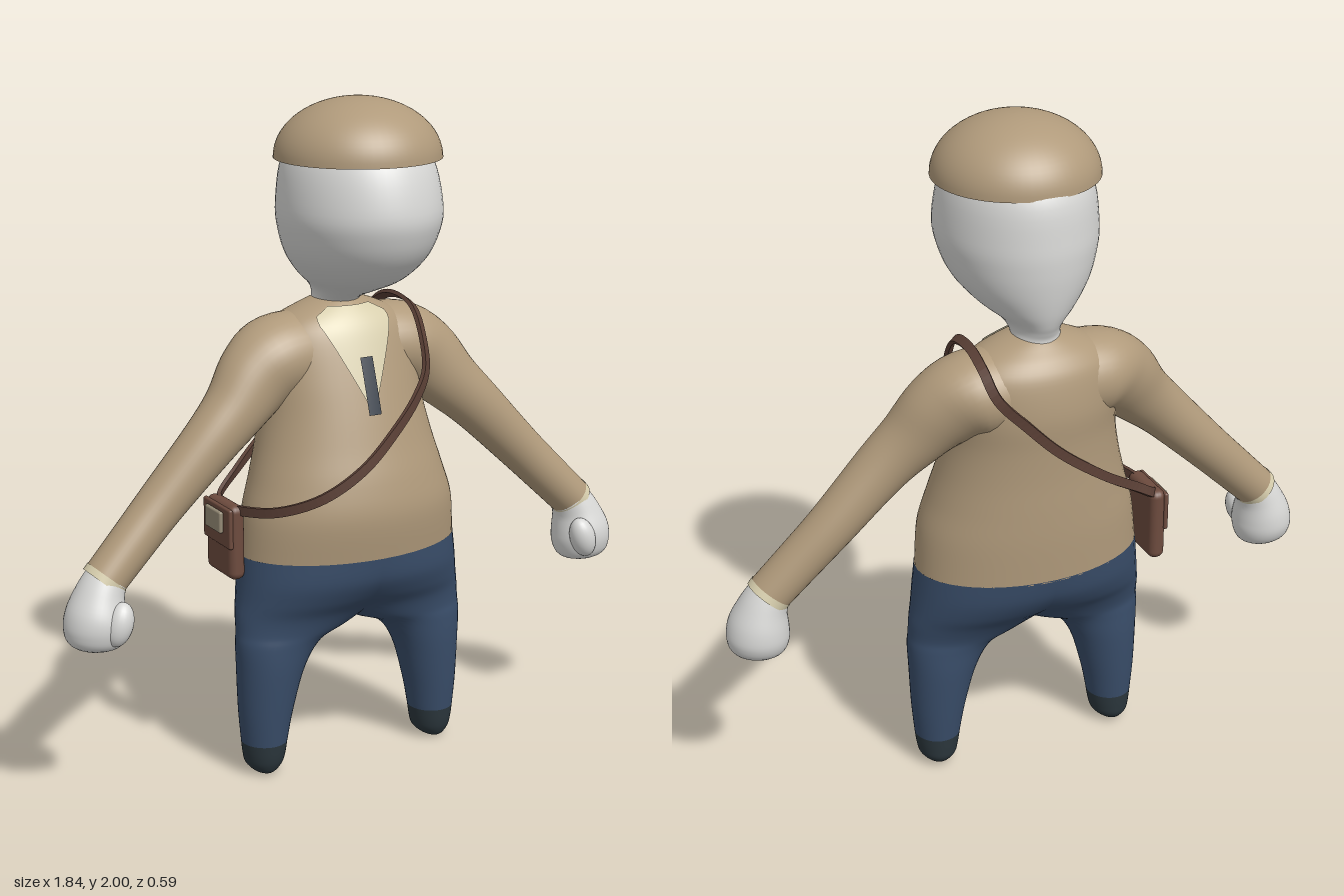
import * as THREE from 'three';
import { RoundedBoxGeometry } from 'three/addons/geometries/RoundedBoxGeometry.js';

const mat = (name, color, side = THREE.FrontSide) => {
  const m = new THREE.MeshStandardMaterial({ color, side });
  m.name = name;
  return m;
};

// Smooth list of cross-sections [x, y, z, r1, r2] through a few key ones
function refine(keys, steps = 5) {
  const out = [];
  for (let i = 0; i < keys.length - 1; i++) {
    const [a, b, c, d] = [keys[Math.max(i - 1, 0)], keys[i], keys[i + 1], keys[Math.min(i + 2, keys.length - 1)]];
    for (let s = 0; s < steps; s++) {
      const t = s / steps;
      out.push(b.map((p, k) => 0.5 * (2 * p + (c[k] - a[k]) * t + (2 * a[k] - 5 * p + 4 * c[k] - d[k]) * t * t
        + (3 * p - a[k] - 3 * c[k] + d[k]) * t * t * t)));
    }
  }
  out.push(keys[keys.length - 1]);
  return out;
}

// Skin elliptical sections; upright keeps every section horizontal
function loft(sections, upright = true, seg = 40) {
  const pos = [], idx = [], last = sections.length - 1;
  sections.forEach(([x, y, z, r1, r2], i) => {
    const p = sections[Math.max(i - 1, 0)], q = sections[Math.min(i + 1, last)];
    let tx = 0, ty = 1;
    if (!upright) {
      const l = Math.hypot(q[0] - p[0], q[1] - p[1]);
      tx = (q[0] - p[0]) / l;
      ty = (q[1] - p[1]) / l;
    }
    for (let j = 0; j < seg; j++) {
      const a = j / seg * Math.PI * 2, n = Math.cos(a) * r1;
      pos.push(x - ty * n, y + tx * n, z + Math.sin(a) * r2);
      if (i < last) {
        const k = (j + 1) % seg, A = i * seg + j, B = i * seg + k;
        idx.push(A, B, A + seg, B, B + seg, A + seg);
      }
    }
  });
  const g = new THREE.BufferGeometry();
  g.setAttribute('position', new THREE.Float32BufferAttribute(pos, 3));
  g.setIndex(idx);
  g.computeVertexNormals();
  return g;
}

// Section from its limits: height, x range, z range
const span = (y, x0, x1, z0, z1) => [(x0 + x1) / 2, y, (z0 + z1) / 2, Math.abs(x1 - x0) / 2, (z1 - z0) / 2];
const mid = ([y, w, z0, z1]) => span(y, -w, w, z0, z1);

// Flat strap swept along a closed curve, its face turned away from the body
function ribbon(points, width, thick, n = 110) {
  const curve = new THREE.CatmullRomCurve3(points.map(p => new THREE.Vector3(...p)), true, 'centripetal');
  const pos = [], idx = [];
  for (let i = 0; i < n; i++) {
    const p = curve.getPointAt(i / n), t = curve.getTangentAt(i / n);
    const out = p.clone().sub(new THREE.Vector3(p.x * 0.5, THREE.MathUtils.clamp(p.y, 0.8, 1.25), -0.09));
    out.addScaledVector(t, -out.dot(t)).normalize();
    const b = t.clone().cross(out);
    [[1, 1], [-1, 1], [-1, -1], [1, -1]].forEach(([u, v], j) => {
      const c = p.clone().addScaledVector(out, u * thick / 2).addScaledVector(b, v * width / 2);
      pos.push(c.x, c.y, c.z);
      const k = (j + 1) % 4, m = ((i + 1) % n) * 4;
      idx.push(i * 4 + j, i * 4 + k, m + j, i * 4 + k, m + k, m + j);
    });
  }
  const g = new THREE.BufferGeometry();
  g.setAttribute('position', new THREE.Float32BufferAttribute(pos, 3));
  g.setIndex(idx);
  const flat = g.toNonIndexed();
  flat.computeVertexNormals();
  return flat;
}

export function createModel() {
  const model = new THREE.Group();
  const tan = mat('tan cloth', 0xb09a7b), skin = mat('pale skin', 0xd8d8d6), navy = mat('navy cloth', 0x394d69);
  const shoeMat = mat('dark shoe', 0x2b363c), cream = mat('cream shirt', 0xd8cfae, THREE.DoubleSide);
  const tieMat = mat('dark tie', 0x27323f, THREE.DoubleSide), strapMat = mat('strap leather', 0x5b4036, THREE.DoubleSide);
  const bagMat = mat('bag leather', 0x6d4b3e), metal = mat('buckle', 0x958b76);
  const add = (name, geo, material, parent = model) => {
    const m = new THREE.Mesh(geo, material);
    m.name = name;
    parent.add(m);
    return m;
  };

  // Sweater body
  const body = refine([
    [0.675, 0.345, -0.275, 0.165], [0.8, 0.332, -0.28, 0.18], [0.9, 0.303, -0.28, 0.165], [1.0, 0.275, -0.278, 0.135],
    [1.1, 0.255, -0.28, 0.105], [1.2, 0.25, -0.285, 0.072], [1.3, 0.24, -0.27, 0.035], [1.35, 0.2, -0.245, 0.01],
    [1.385, 0.13, -0.21, -0.02], [1.41, 0.06, -0.18, -0.05]].map(mid));
  add('torso', loft(body, true, 56), tan);

  // Head with neck
  add('head', loft(refine([
    [1.36, 0.08, -0.205, -0.035], [1.4, 0.07, -0.195, -0.045], [1.425, 0.072, -0.203, 0], [1.45, 0.09, -0.215, 0.07],
    [1.49, 0.14, -0.228, 0.165], [1.55, 0.19, -0.24, 0.235], [1.62, 0.218, -0.248, 0.275], [1.7, 0.228, -0.248, 0.288],
    [1.83, 0.205, -0.228, 0.25], [1.91, 0.14, -0.15, 0.17], [1.95, 0.002, 0.008, 0.012]].map(mid)), true, 56), skin);

  // Domed cap with a flat underside
  const dome = [];
  for (let i = 0; i <= 18; i++) {
    const a = i / 18 * Math.PI / 2;
    dome.push(new THREE.Vector2(0.24 * Math.cos(a), 1.83 + 0.17 * Math.sin(a)));
  }
  dome[18].x = 0;
  add('cap', new THREE.LatheGeometry(dome, 56), tan).position.z = 0.015;
  const under = add('capUnderside', new THREE.CircleGeometry(0.24, 56), tan);
  under.rotation.x = Math.PI / 2;
  under.position.set(0, 1.83, 0.015);

  // Thin patch laid on the chest; half width given by a rule of height
  const chestPatch = (y0, y1, halfWidth, lift) => {
    const g = new THREE.PlaneGeometry(2, 1, 10, 24), p = g.attributes.position;
    for (let i = 0; i < p.count; i++) {
      const y = y0 + (p.getY(i) + 0.5) * (y1 - y0), x = p.getX(i) * halfWidth(y);
      const k = Math.max(1, body.findIndex(s => s[1] >= y)), a = body[k - 1], b = body[k];
      const t = (y - a[1]) / (b[1] - a[1]), [, , z, rx, rz] = a.map((v, n) => v + (b[n] - v) * t);
      p.setXYZ(i, x, y, z + rz * Math.sqrt(Math.max(0, 1 - (x / rx) ** 2)) + lift);
    }
    g.computeVertexNormals();
    return g;
  };
  add('shirtFront', chestPatch(1.11, 1.395, y => Math.min(0.115, (y - 1.1) * 0.46, (1.43 - y) * 1.9), 0.007), cream);
  add('tie', chestPatch(1.1, 1.26, () => 0.02, 0.014), tieMat);

  for (const [side, s] of [['left', 1], ['right', -1]]) {
    const flip = a => [a[0] * s, ...a.slice(1)];

    // Sleeve, cuff and mitten hand
    const arm = new THREE.Group();
    arm.name = side + 'Arm';
    model.add(arm);
    add(side + 'Sleeve', loft(refine([
      [0.08, 1.25, -0.12, 0.125, 0.13], [0.2, 1.245, -0.115, 0.125, 0.135], [0.28, 1.2, -0.095, 0.117, 0.11],
      [0.36, 1.12, -0.07, 0.095, 0.09], [0.45, 1.035, -0.055, 0.082, 0.078], [0.6, 0.885, -0.05, 0.071, 0.07],
      [0.7, 0.785, -0.04, 0.067, 0.067], [0.79, 0.695, -0.03, 0.064, 0.066]].map(flip)), false), tan, arm);
    add(side + 'Cuff', loft([[0.783, 0.702, -0.03, 0.066, 0.068], [0.797, 0.686, -0.03, 0.066, 0.068]].map(flip), false), cream, arm);
    add(side + 'Hand', loft(refine([
      [0.775, 0.715, -0.03, 0.055, 0.06], [0.805, 0.66, -0.025, 0.07, 0.075], [0.822, 0.6, -0.02, 0.088, 0.092],
      [0.828, 0.55, -0.02, 0.09, 0.09], [0.833, 0.512, -0.018, 0.07, 0.066], [0.835, 0.49, -0.018, 0.001, 0.001]].map(flip)),
      false), skin, arm);
    const thumb = add(side + 'Thumb', new THREE.SphereGeometry(1, 24, 16), skin, arm);
    thumb.scale.set(0.04, 0.065, 0.04);
    thumb.position.set(0.785 * s, 0.585, 0.052);
    thumb.rotation.z = 0.3 * s;

    // Trouser half, overlapping its twin above the crotch, and shoe
    const leg = rows => refine(rows.map(r => flip(span(...r))));
    add(side + 'Trouser', loft(leg([
      [0.1, 0.22, 0.357, -0.115, 0.03], [0.2, 0.2, 0.365, -0.125, 0.042], [0.33, 0.16, 0.37, -0.135, 0.055],
      [0.41, 0.1, 0.374, -0.138, 0.06], [0.45, 0.0, 0.372, -0.148, 0.066], [0.5, -0.1, 0.37, -0.178, 0.085],
      [0.55, -0.2, 0.362, -0.222, 0.122], [0.61, -0.29, 0.354, -0.258, 0.155], [0.68, -0.345, 0.346, -0.276, 0.167]])), navy);
    add(side + 'Shoe', loft(leg([
      [0, 0.292, 0.294, -0.045, -0.043], [0.006, 0.265, 0.32, -0.085, 0], [0.03, 0.237, 0.344, -0.108, 0.018],
      [0.06, 0.227, 0.352, -0.113, 0.026], [0.1, 0.22, 0.357, -0.115, 0.03]])), shoeMat);
  }

  // Shoulder strap and side bag
  add('strap', ribbon([
    [0.2, 1.39, -0.12], [0.2, 1.37, -0.01], [0.2, 1.29, 0.045], [0.19, 1.2, 0.08], [0.14, 1.13, 0.11], [0.05, 1.05, 0.145],
    [-0.08, 0.96, 0.183], [-0.2, 0.89, 0.165], [-0.3, 0.845, 0.085], [-0.36, 0.828, -0.03], [-0.372, 0.825, -0.11],
    [-0.362, 0.835, -0.17], [-0.28, 0.895, -0.215], [-0.15, 0.985, -0.268], [0, 1.1, -0.29], [0.1, 1.2, -0.285],
    [0.18, 1.29, -0.265], [0.2, 1.36, -0.215]], 0.028, 0.012), strapMat);
  const bag = new THREE.Group();
  bag.name = 'bag';
  bag.position.set(-0.372, 0.73, -0.11);
  model.add(bag);
  add('bagBody', new RoundedBoxGeometry(0.05, 0.225, 0.17, 4, 0.022), bagMat, bag);
  add('bagFlap', new RoundedBoxGeometry(0.014, 0.12, 0.172, 3, 0.006), bagMat, bag).position.set(-0.023, 0.045, 0);
  add('bagBuckle', new RoundedBoxGeometry(0.014, 0.065, 0.1, 3, 0.006), metal, bag).position.set(-0.037, 0.06, 0);
  return model;
}
